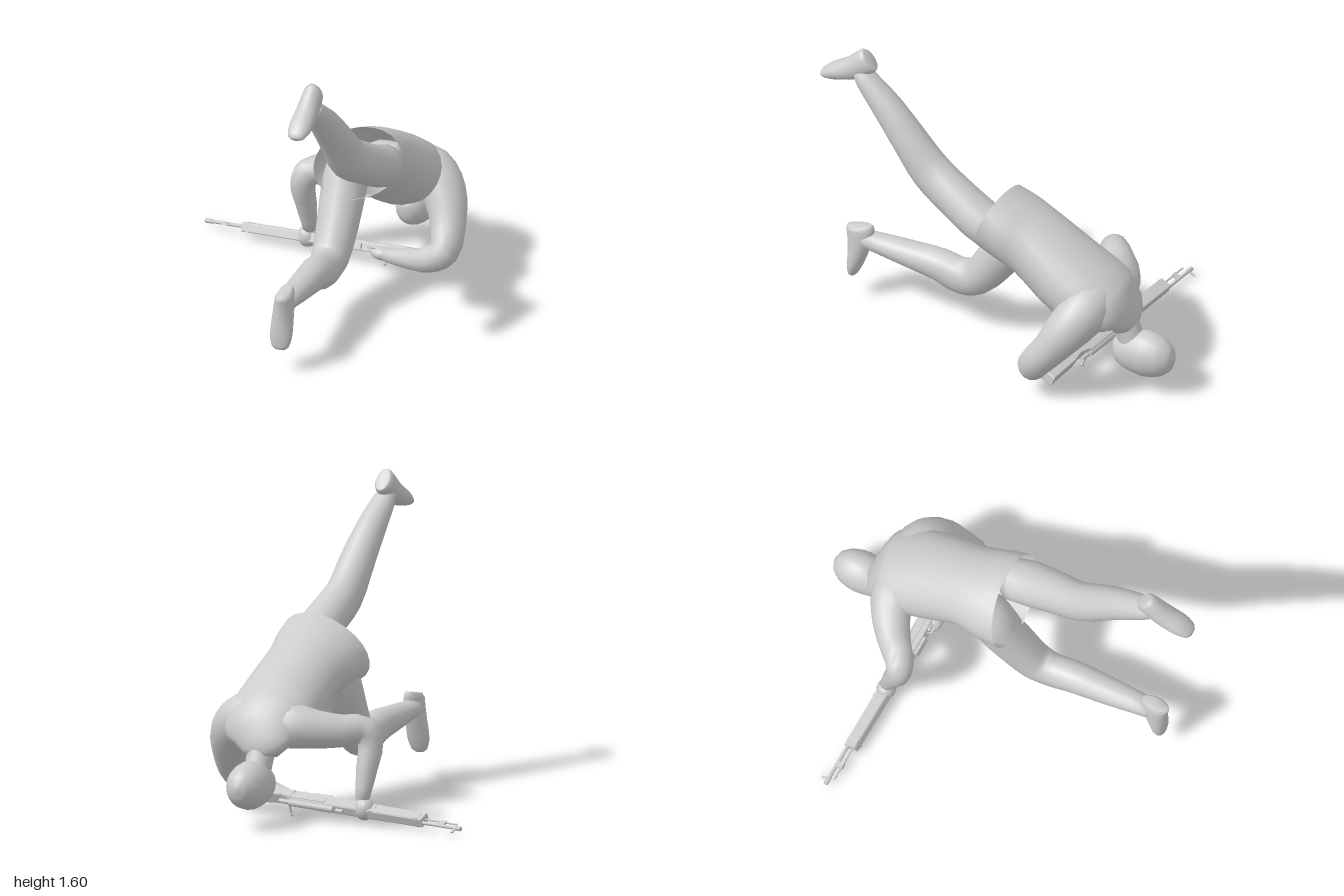
import * as THREE from 'three';

const grey = new THREE.MeshStandardMaterial({ color: 0xcccccc, side: THREE.DoubleSide });
grey.name = 'plain grey';

function add(parent, name, geometry, x = 0, y = 0, z = 0) {
  const mesh = new THREE.Mesh(geometry, grey);
  mesh.name = name;
  mesh.position.set(x, y, z);
  parent.add(mesh);
  return mesh;
}

// Smooth loft through rows of [x, y, z, half width, half height, roll].
function loft(rows, ref, { sides = 16, steps = 3, capEnd = true } = {}) {
  const path = new THREE.CatmullRomCurve3(rows.map(r => new THREE.Vector3(r[0], r[1], r[2])));
  const size = new THREE.CatmullRomCurve3(
    rows.map(r => new THREE.Vector3(r[3], r[4] ?? r[3], r[5] ?? 0)), false, 'catmullrom', 0.4);
  const n = (rows.length - 1) * steps;
  const pos = [], index = [];
  for (let i = 0; i <= n; i++) {
    const c = path.getPoint(i / n), s = size.getPoint(i / n), t = path.getTangent(i / n);
    const side = new THREE.Vector3(ref[0], ref[1] + s.z, ref[2]);
    side.addScaledVector(t, -side.dot(t)).normalize();
    const up = t.clone().cross(side);
    for (let j = 0; j < sides; j++) {
      const a = j / sides * Math.PI * 2;
      const p = c.clone().addScaledVector(side, s.x * Math.cos(a)).addScaledVector(up, s.y * Math.sin(a));
      pos.push(p.x, p.y, p.z);
      if (i < n) {
        const k = i * sides, j2 = (j + 1) % sides;
        index.push(k + j, k + j2, k + sides + j2, k + j, k + sides + j2, k + sides + j);
      }
    }
  }
  const cap = (row, base, flip) => {
    const m = pos.length / 3;
    pos.push(row[0], row[1], row[2]);
    for (let j = 0; j < sides; j++) {
      const a = base + j, b = base + (j + 1) % sides;
      index.push(m, flip ? b : a, flip ? a : b);
    }
  };
  cap(rows[0], 0, true);
  if (capEnd) cap(rows[rows.length - 1], n * sides, false);
  const g = new THREE.BufferGeometry();
  g.setAttribute('position', new THREE.Float32BufferAttribute(pos, 3));
  g.setIndex(index);
  g.computeVertexNormals();
  return g;
}

function buildBody(body) {
  const X = [1, 0, 0], Z = [0, 0, 1];

  // Jacket, open at the hem
  add(body, 'jacket', loft([
    [0.325, 0.35, -0.725, 0.09, 0.06], [0.325, 0.42, -0.71, 0.17, 0.08],
    [0.34, 0.485, -0.635, 0.225, 0.15], [0.35, 0.555, -0.47, 0.232, 0.187],
    [0.34, 0.70, -0.235, 0.215, 0.175, 0.12], [0.33, 0.755, -0.1, 0.24, 0.18, 0.32],
    [0.325, 0.795, 0.008, 0.25, 0.18, 0.48],
  ], X, { sides: 24, capEnd: false }));

  // Neck and head
  add(body, 'neck', loft([[0.325, 0.42, -0.69, 0.08], [0.325, 0.33, -0.735, 0.07], [0.325, 0.22, -0.78, 0.07]], X));
  add(body, 'head', loft([
    [0.325, 0.20, -0.66, 0.025, 0.04], [0.325, 0.205, -0.69, 0.07, 0.08],
    [0.325, 0.21, -0.76, 0.095, 0.11], [0.325, 0.215, -0.85, 0.106, 0.125],
    [0.325, 0.215, -0.93, 0.09, 0.105], [0.325, 0.215, -0.98, 0.055, 0.065],
    [0.325, 0.215, -1.0, 0.012, 0.015],
  ], X, { sides: 20 }));

  // Left leg, kicked up behind
  add(body, 'leftLeg', loft([
    [0.44, 0.77, -0.06, 0.11], [0.44, 0.82, 0.05, 0.118, 0.108], [0.425, 0.905, 0.2, 0.108],
    [0.405, 1.0, 0.35, 0.098, 0.11], [0.40, 1.14, 0.47, 0.093], [0.39, 1.29, 0.6, 0.08],
    [0.38, 1.42, 0.73, 0.063, 0.057], [0.374, 1.465, 0.772, 0.05, 0.045],
  ], X));
  add(body, 'leftFoot', loft([
    [0.372, 1.545, 0.715, 0.035, 0.06], [0.372, 1.53, 0.735, 0.05, 0.07],
    [0.372, 1.465, 0.82, 0.058, 0.062], [0.372, 1.42, 0.92, 0.06, 0.045],
    [0.372, 1.395, 0.975, 0.045, 0.025], [0.372, 1.387, 0.99, 0.025, 0.012],
  ], X));

  // Right leg, bent under the body
  add(body, 'rightLeg', loft([
    [0.25, 0.77, -0.16, 0.1], [0.235, 0.7, -0.085, 0.115], [0.23, 0.61, -0.035, 0.116],
    [0.235, 0.46, 0.06, 0.108], [0.238, 0.325, 0.17, 0.097], [0.24, 0.3, 0.265, 0.085, 0.1],
    [0.243, 0.33, 0.38, 0.083, 0.087], [0.245, 0.345, 0.55, 0.075, 0.07], [0.248, 0.362, 0.81, 0.055, 0.045],
  ], X));
  add(body, 'rightFoot', loft([
    [0.255, 0.44, 0.84, 0.03, 0.072], [0.255, 0.415, 0.835, 0.045, 0.078],
    [0.25, 0.3, 0.848, 0.055, 0.058], [0.247, 0.2, 0.868, 0.06, 0.04],
    [0.247, 0.145, 0.88, 0.045, 0.025], [0.247, 0.13, 0.885, 0.025, 0.015],
  ], X));

  // Right arm, holding the fore-end
  add(body, 'rightArm', loft([
    [0.33, 0.5, -0.61, 0.11], [0.2, 0.495, -0.605, 0.118], [0.09, 0.48, -0.57, 0.1],
    [-0.02, 0.47, -0.5, 0.085], [-0.115, 0.47, -0.425, 0.073], [-0.143, 0.4, -0.415, 0.065],
    [-0.138, 0.28, -0.445, 0.055], [-0.132, 0.12, -0.485, 0.036],
  ], Z));
  // Left arm, reaching to the trigger
  add(body, 'leftArm', loft([
    [0.36, 0.53, -0.6, 0.11], [0.48, 0.51, -0.59, 0.13], [0.575, 0.43, -0.54, 0.118],
    [0.635, 0.3, -0.45, 0.092], [0.645, 0.185, -0.36, 0.08], [0.57, 0.135, -0.345, 0.068],
    [0.45, 0.105, -0.37, 0.052], [0.31, 0.085, -0.405, 0.034],
  ], Z));

  // Hands
  const ball = new THREE.SphereGeometry(1, 14, 10);
  add(body, 'rightHand', ball, -0.145, 0.075, -0.485).scale.set(0.052, 0.058, 0.05);
  add(body, 'leftHand', ball, 0.285, 0.085, -0.42).scale.set(0.06, 0.035, 0.045);
  const finger = add(body, 'leftFinger', new THREE.CapsuleGeometry(0.01, 0.05, 4, 8), 0.25, 0.11, -0.42);
  finger.rotation.z = Math.PI / 2 - 0.2;
}

// Thick plate cut to a side profile, centred on its thickness
function plate(points, thickness) {
  const shape = new THREE.Shape(points.map(([x, y]) => new THREE.Vector2(x, y)));
  const bevel = 0.006, depth = thickness - 2 * bevel;
  return new THREE.ExtrudeGeometry(shape, {
    depth, bevelEnabled: true, bevelThickness: bevel, bevelSize: 0.004, bevelSegments: 1,
  }).translate(0, 0, -depth / 2);
}

// Rifle in its own frame: +x to the butt, +y to the sights
function buildRifle(rifle) {
  add(rifle, 'foreEnd', plate([
    [-0.5, -0.032], [0.16, -0.046], [0.3, -0.043], [0.3, 0.012], [0.26, 0.024], [-0.5, 0.026],
  ], 0.05));
  add(rifle, 'butt', plate([
    [0.28, -0.042], [0.33, -0.042], [0.4, -0.055], [0.62, -0.09],
    [0.62, 0.02], [0.42, 0.016], [0.34, 0.003], [0.28, 0.015],
  ], 0.06));

  const rod = (name, x0, x1, y, r) =>
    add(rifle, name, new THREE.CylinderGeometry(r, r, x1 - x0, 8).rotateZ(Math.PI / 2), (x0 + x1) / 2, y, 0);
  rod('barrel', -0.73, 0.05, 0.02, 0.009);
  rod('muzzle', -0.73, -0.69, 0.02, 0.012);
  rod('cleaningRod', -0.69, -0.48, -0.012, 0.005);
  rod('receiver', 0.02, 0.28, 0.028, 0.019);
  rod('bolt', 0.26, 0.34, 0.026, 0.012);

  const box = (name, w, h, d, x, y) => add(rifle, name, new THREE.BoxGeometry(w, h, d), x, y, 0);
  box('frontSight', 0.012, 0.045, 0.006, -0.7, 0.04);
  box('gasBlock', 0.03, 0.045, 0.014, -0.61, 0.003);
  box('rearSight', 0.04, 0.02, 0.02, -0.02, 0.04);
  box('receiverPlate', 0.2, 0.035, 0.056, 0.18, 0);
  box('magazine', 0.1, 0.03, 0.03, 0.13, -0.05);
  for (const x of [-0.47, -0.2]) box('barrelBand', 0.02, 0.064, 0.053, x, -0.004);

  // Bolt handle and trigger guard
  const handle = add(rifle, 'boltHandle', new THREE.CylinderGeometry(0.005, 0.005, 0.07, 8), 0.285, 0.026, -0.04);
  handle.rotation.x = Math.PI / 2;
  add(rifle, 'boltKnob', new THREE.SphereGeometry(0.01, 8, 6), 0.285, 0.026, -0.076);
  add(rifle, 'triggerGuard', new THREE.TorusGeometry(0.028, 0.004, 6, 14, Math.PI), 0.24, -0.045, 0)
    .rotation.z = Math.PI;
}

export function createModel() {
  const model = new THREE.Group();
  model.name = 'divingFigure';
  const body = new THREE.Group();
  body.name = 'body';
  buildBody(body);

  const rifle = new THREE.Group();
  rifle.name = 'rifle';
  buildRifle(rifle);
  const along = new THREE.Vector3(1, 0.05, 0.065).normalize();
  const across = along.clone().cross(new THREE.Vector3(0, -0.4, -0.9)).normalize();
  const up = across.clone().cross(along);
  rifle.quaternion.setFromRotationMatrix(new THREE.Matrix4().makeBasis(along, up, across));
  rifle.position.set(0, 0.073, -0.48);

  model.add(body, rifle);
  return model;
}
